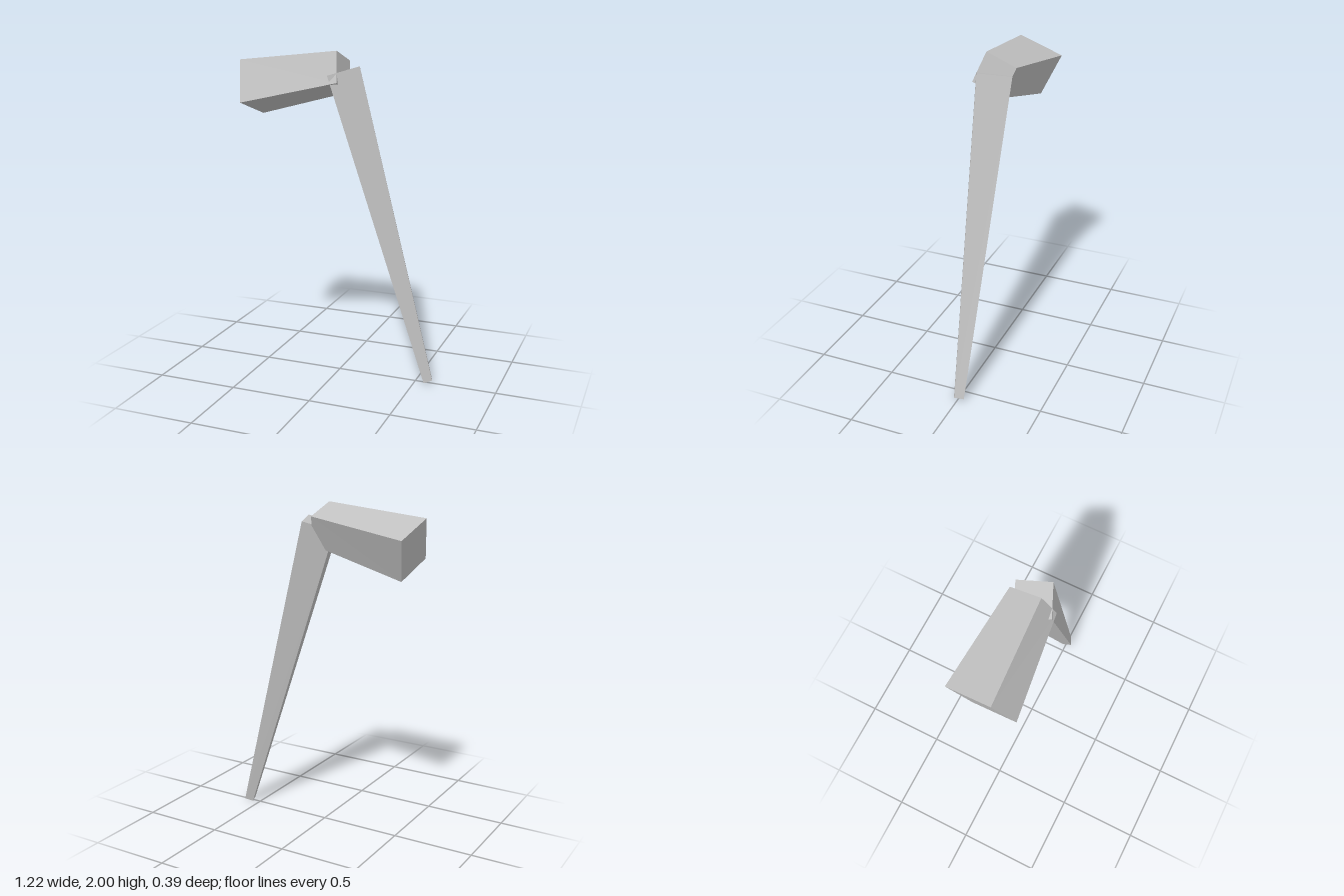
import * as THREE from 'three';

// Four-sided tapered beam. Each end is a parallelogram given by one corner
// and its two neighbours; a box's corners are moved onto those two ends.
function taperedBeam(name, upper, lower, material) {
  const box = new THREE.BoxGeometry(1, 1, 1);
  const pos = box.attributes.position;
  for (let i = 0; i < pos.count; i++) {
    const [o, u, v] = pos.getY(i) > 0 ? upper : lower;
    const s = pos.getX(i) + 0.5;
    const t = pos.getZ(i) + 0.5;
    pos.setXYZ(i, ...o.map((c, k) => c + s * (u[k] - c) + t * (v[k] - c)));
  }
  const geometry = box.toNonIndexed();
  geometry.computeVertexNormals();
  const mesh = new THREE.Mesh(geometry, material);
  mesh.name = name;
  return mesh;
}

export function createModel() {
  const model = new THREE.Group();
  model.name = 'jointedLeg';
  const grey = new THREE.MeshStandardMaterial({ color: 0xc0c0c0, flatShading: true });
  grey.name = 'light grey';

  // Short upper segment, widening away from the knee
  model.add(taperedBeam('upperSegment',
    [[0, 2, 0.053], [0.012, 1.93, -0.135], [0.03, 1.822, 0.13]],
    [[-0.613, 1.935, 0.08], [-0.595, 1.84, -0.197], [-0.563, 1.69, 0.193]], grey));

  // Long lower segment, narrowing to the foot
  model.add(taperedBeam('lowerSegment',
    [[0.143, 1.915, 0.053], [-0.03, 1.862, 0.13], [0.074, 1.898, -0.135]],
    [[0.61, 0.024, 0.014], [0.563, 0.007, 0.036], [0.592, 0.017, -0.042]], grey));

  return model;
}
